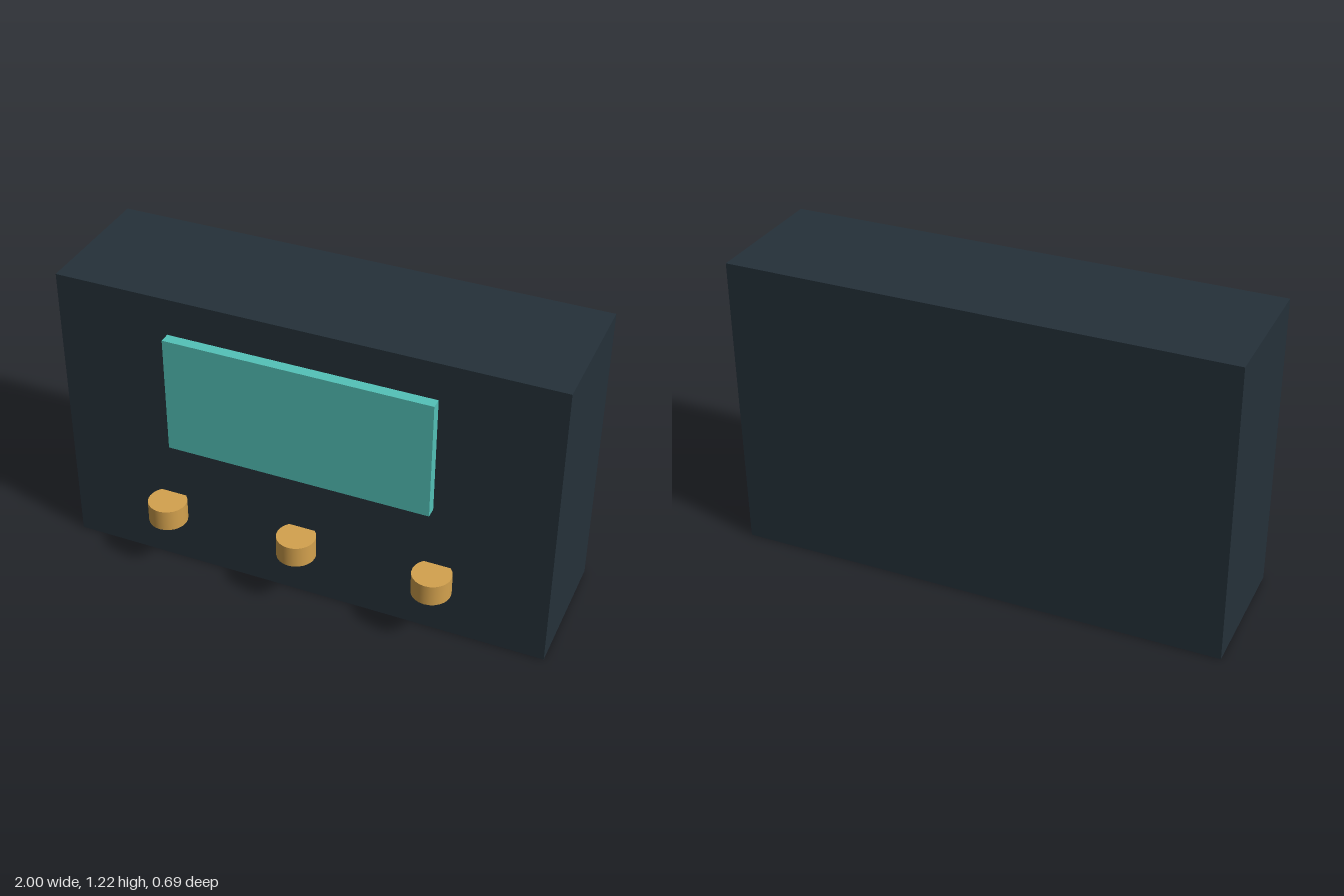
import * as THREE from 'three';

export function createModel() {
  const group = new THREE.Group();
  const mat = (name, color) => {
    const m = new THREE.MeshStandardMaterial({ color });
    m.name = name;
    return m;
  };
  const dark = mat('dark slate', 0x25313a);
  const teal = mat('teal', 0x54c2b8);
  const brass = mat('brass', 0xd4a24e);

  const add = (name, geometry, material, x, y, z) => {
    const mesh = new THREE.Mesh(geometry, material);
    mesh.name = name;
    mesh.position.set(x, y, z);
    group.add(mesh);
  };

  // Cabinet
  add('cabinet', new THREE.BoxGeometry(2, 1.222, 0.556), dark, 0, 0.611, -0.067);

  // Display panel, standing just clear of the front face
  add('screen', new THREE.BoxGeometry(1.067, 0.489, 0.044), teal, 0, 0.833, 0.244);

  // Upright round knobs, partly sunk into the front face
  const knob = new THREE.CylinderGeometry(0.078, 0.078, 0.089, 24);
  ['rightKnob', 'middleKnob', 'leftKnob'].forEach((name, i) => {
    add(name, knob, brass, (i - 1) * 0.556, 0.278, 0.267);
  });

  return group;
}
